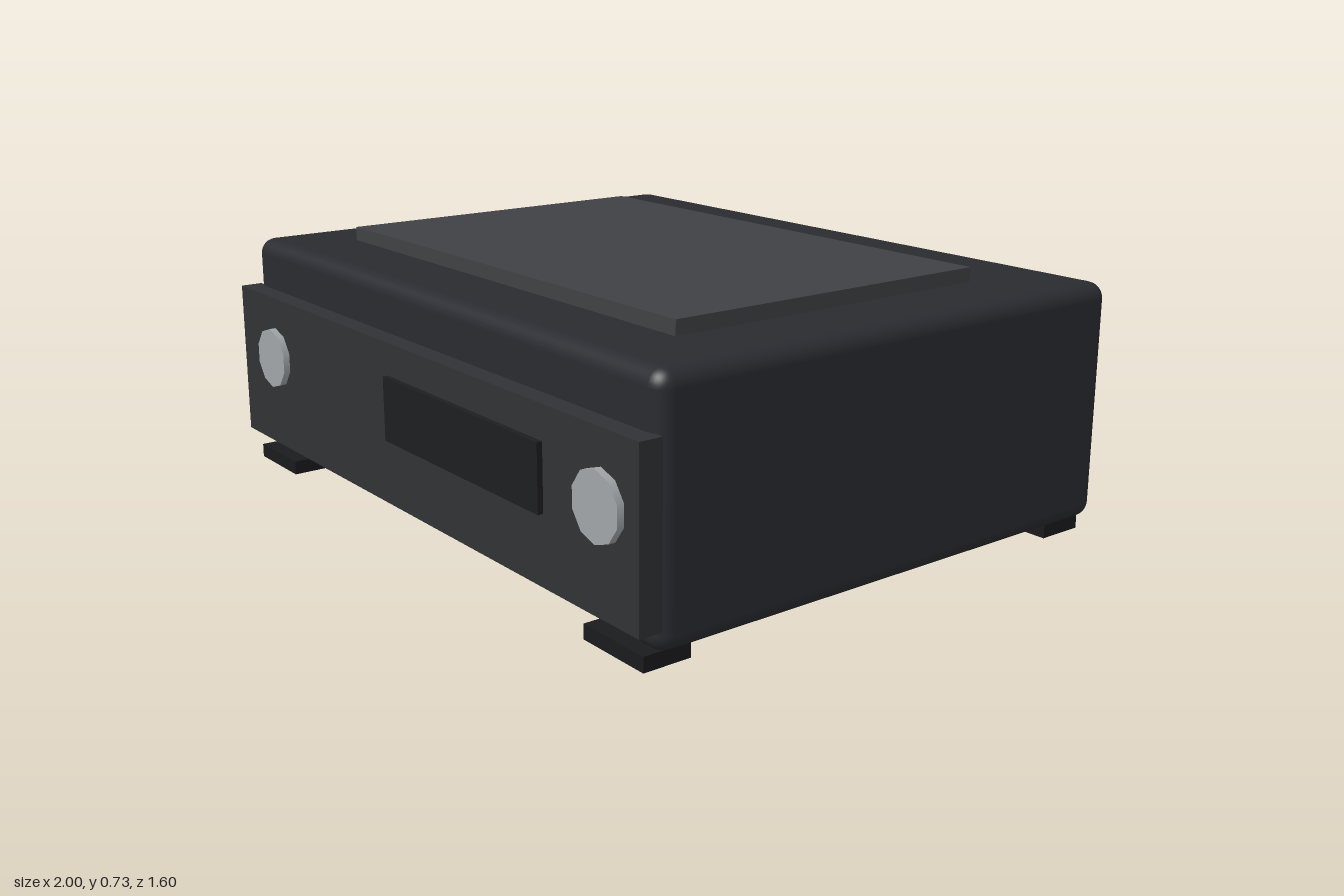
import * as THREE from 'three';
import { RoundedBoxGeometry } from 'three/addons/geometries/RoundedBoxGeometry.js';

const paint = (color) => new THREE.MeshStandardMaterial({ color });

export function createModel() {
  const model = new THREE.Group();
  const dark = paint(0x2a2b30);
  const panelPaint = paint(0x303235);
  const platePaint = paint(0x404144);
  const displayPaint = paint(0x1d1e1f);
  const footPaint = paint(0x1a1b1d);
  const metal = paint(0xa0a5a8);

  const add = (name, geometry, material, x, y, z) => {
    const mesh = new THREE.Mesh(geometry, material);
    mesh.name = name;
    mesh.position.set(x, y, z);
    model.add(mesh);
    return mesh;
  };

  // Box given by its limits along each axis
  const box = (name, material, [x0, x1], [y0, y1], [z0, z1]) =>
    add(name, new THREE.BoxGeometry(x1 - x0, y1 - y0, z1 - z0), material,
      (x0 + x1) / 2, (y0 + y1) / 2, (z0 + z1) / 2);

  // Rounded case
  add('case', new RoundedBoxGeometry(2, 0.66, 1.52, 4, 0.045), dark, 0, 0.36, -0.037);

  // Raised plate on top, front panel and recess-dark display
  box('topPlate', platePaint, [-0.773, 0.773], [0.67, 0.73], [-0.5, 0.5]);
  box('frontPanel', panelPaint, [-1, 1], [0.095, 0.547], [0.715, 0.779]);
  box('display', displayPaint, [-0.093, 0.633], [0.28, 0.457], [0.77, 0.794]);

  // Ten-sided knobs
  const knobGeometry = new THREE.CylinderGeometry(0.089, 0.089, 0.04, 10);
  knobGeometry.rotateX(Math.PI / 2);
  add('rightKnob', knobGeometry, metal, -0.776, 0.367, 0.778);
  add('leftKnob', knobGeometry, metal, 0.862, 0.367, 0.778);

  // Feet at the four corners
  for (const side of [-1, 1]) {
    for (const end of [-1, 1]) {
      const name = (end > 0 ? 'front' : 'back') + (side > 0 ? 'Left' : 'Right') + 'Foot';
      add(name, new THREE.BoxGeometry(0.227, 0.04, 0.136), footPaint,
        side * 0.866, 0.02, end * 0.684);
    }
  }

  return model;
}
